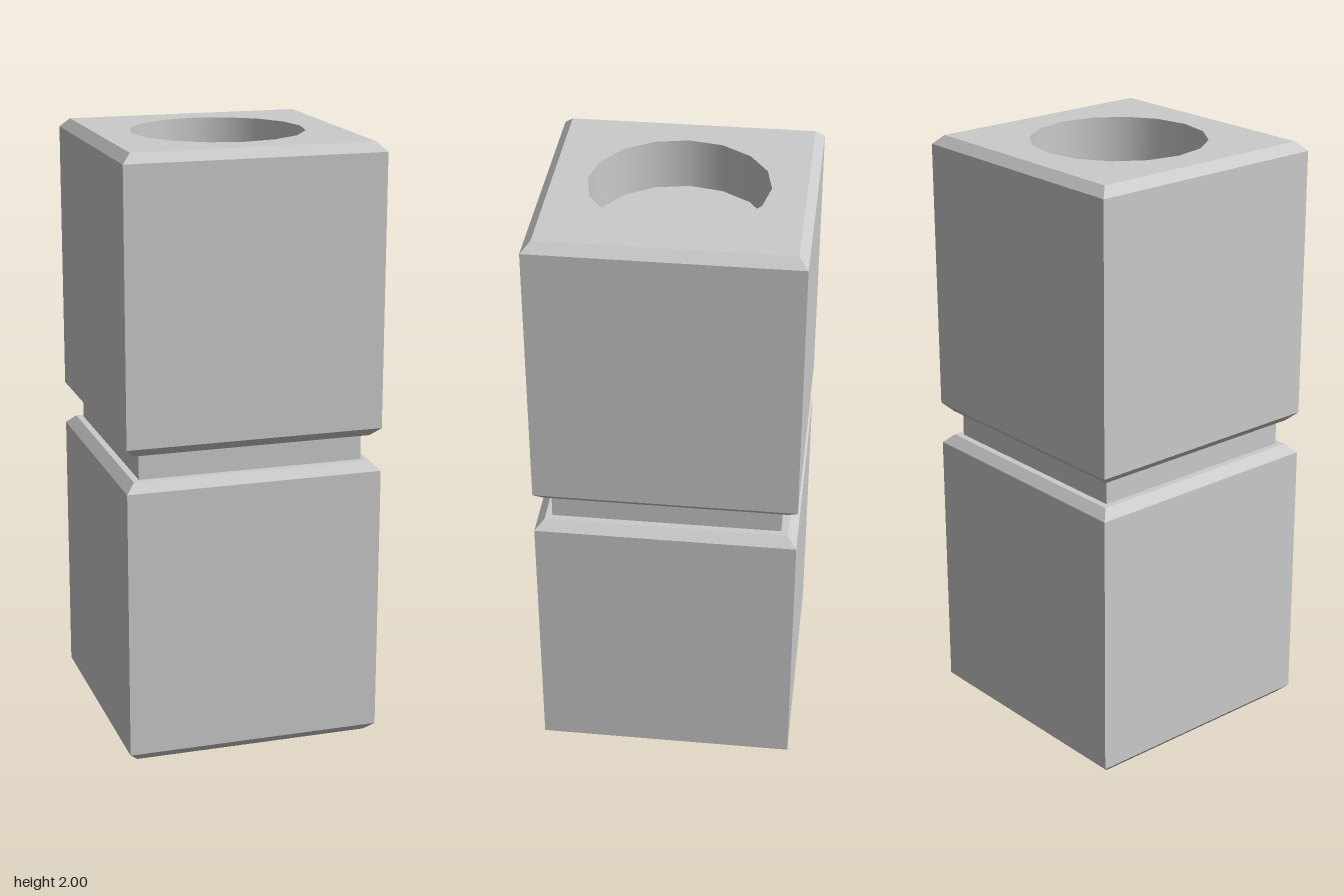
import * as THREE from 'three';

const HALF = 0.427, CHAMFER = 0.03, BLOCK_H = 0.957, NECK_HALF = 0.375;
const HOLE_R = 0.287, HOLE_DEPTH = 0.165;

export function createModel() {
  const model = new THREE.Group();
  const flat = new THREE.MeshStandardMaterial({ color: 0xcccccc, flatShading: true });
  const smoothInside = new THREE.MeshStandardMaterial({ color: 0xcccccc, side: THREE.BackSide });

  function add(parent, name, geometry, material, y) {
    const mesh = new THREE.Mesh(geometry, material);
    mesh.name = name;
    mesh.position.y = y;
    parent.add(mesh);
  }

  // Square block with chamfered top and bottom rims, from [half width, y] pairs
  function squareBlock(openTop) {
    const inner = HALF - CHAMFER;
    const profile = [[0, 0], [inner, 0], [HALF, CHAMFER], [HALF, BLOCK_H - CHAMFER], [inner, BLOCK_H]];
    if (!openTop) profile.push([0, BLOCK_H]);
    const points = profile.map(([half, y]) => new THREE.Vector2(half * Math.SQRT2, y));
    return new THREE.LatheGeometry(points, 4, Math.PI / 4);
  }

  // Lower block and the recessed neck joining it to the upper one
  add(model, 'lowerBlock', squareBlock(false), flat, 0);
  const neckH = 2 - 2 * BLOCK_H;
  add(model, 'neck', new THREE.BoxGeometry(2 * NECK_HALF, neckH, 2 * NECK_HALF), flat, 1);

  // Upper block with a round socket in its top
  const upper = new THREE.Group();
  upper.name = 'upperBlock';
  upper.position.y = 2 - BLOCK_H;
  model.add(upper);
  add(upper, 'upperBody', squareBlock(true), flat, 0);

  const e = HALF - CHAMFER;
  const rim = new THREE.Shape().moveTo(-e, -e).lineTo(e, -e).lineTo(e, e).lineTo(-e, e).closePath();
  rim.holes.push(new THREE.Path().absarc(0, 0, HOLE_R, 0, Math.PI * 2, true));
  add(upper, 'topFace', new THREE.ShapeGeometry(rim, 8).rotateX(-Math.PI / 2), flat, BLOCK_H);

  const wall = new THREE.CylinderGeometry(HOLE_R, HOLE_R, HOLE_DEPTH, 16, 1, true);
  add(upper, 'socketWall', wall, smoothInside, BLOCK_H - HOLE_DEPTH / 2);
  const floor = new THREE.CircleGeometry(HOLE_R, 16).rotateX(-Math.PI / 2);
  add(upper, 'socketFloor', floor, flat, BLOCK_H - HOLE_DEPTH);

  return model;
}
